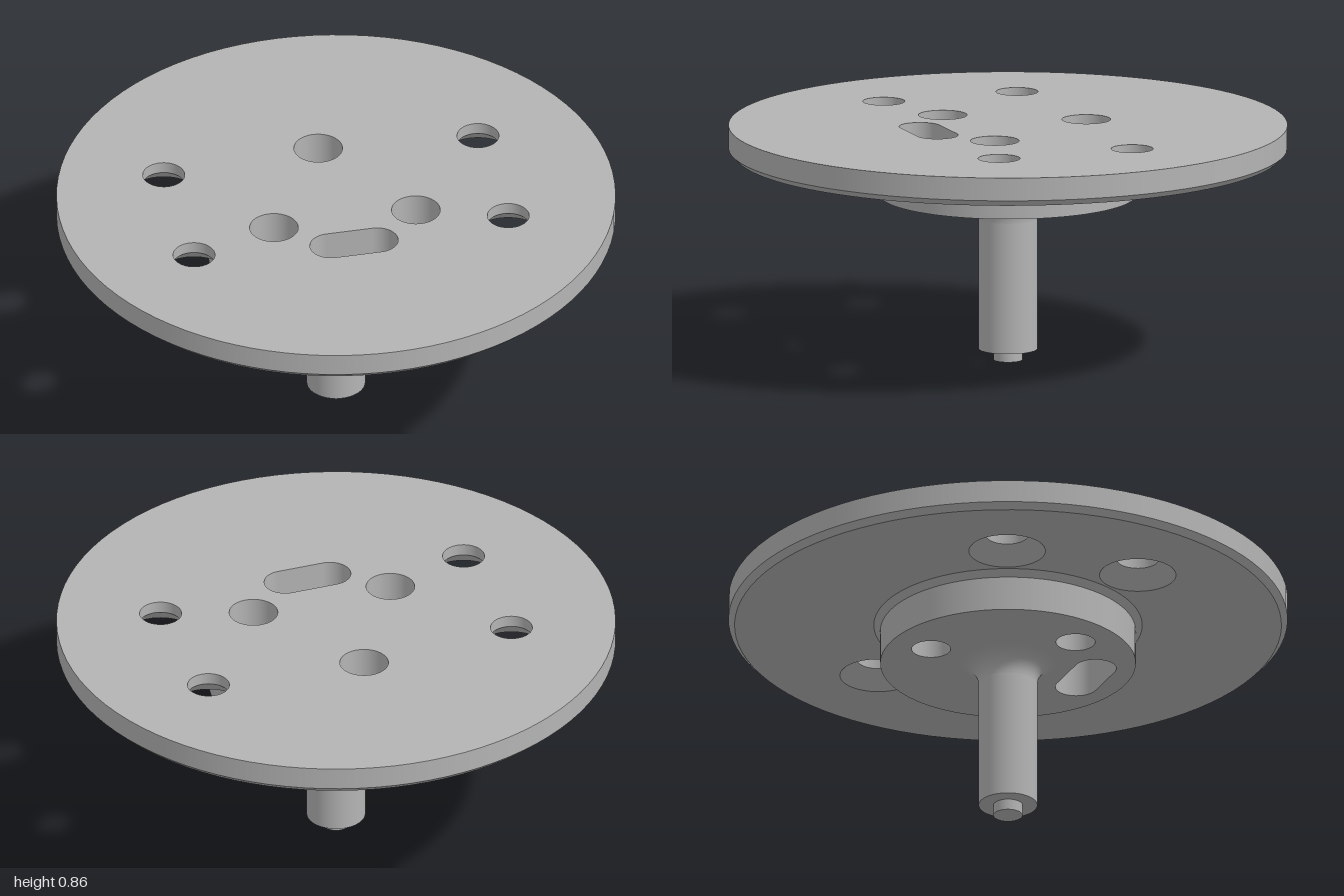
import * as THREE from 'three';
import { mergeGeometries } from 'three/addons/utils/BufferGeometryUtils.js';

const SEG = 96;
const TOP = 0.855, DISC = 0.75, COLLAR = 0.6;
const SLOT = { z: 0.304, r: 0.075, half: 0.085 };
const outerHoles = [[0.575, 0.255], [-0.575, 0.255], [0.575, -0.255], [-0.575, -0.255]];
const innerHoles = [0, 1, 2].map(i => {
  const a = Math.PI + i * Math.PI * 2 / 3;
  return [0.3 * Math.sin(a), 0.3 * Math.cos(a)];
});

// Each run is smooth; runs meet at sharp edges. Upward runs face outward.
function revolve(runs, start = 0, length = Math.PI * 2) {
  return mergeGeometries(runs.map(run =>
    new THREE.LatheGeometry(run.map(p => new THREE.Vector2(p[0], p[1])), SEG, start, length)));
}

// Turns a polyline into one sharp-edged run per segment
const segments = pts => pts.slice(1).map((p, i) => [pts[i], p]);

// Flat round face at height y, facing up (dir 1) or down (dir -1)
function face(radius, y, dir, circles, withSlot) {
  const shape = new THREE.Shape();
  shape.absarc(0, 0, radius, 0, Math.PI * 2);
  for (const [x, z, r] of circles) {
    const hole = new THREE.Path();
    hole.absarc(x, -z * dir, r, 0, Math.PI * 2);
    shape.holes.push(hole);
  }
  if (withSlot) {
    const slot = new THREE.Path(), v = -SLOT.z * dir;
    slot.absarc(SLOT.half, v, SLOT.r, -Math.PI / 2, Math.PI / 2);
    slot.absarc(-SLOT.half, v, SLOT.r, Math.PI / 2, Math.PI * 1.5);
    slot.closePath();
    shape.holes.push(slot);
  }
  return new THREE.ShapeGeometry(shape, SEG / 2).rotateX(-dir * Math.PI / 2).translate(0, y, 0);
}

export function createModel() {
  const metal = new THREE.MeshStandardMaterial({ color: 0xb4b4b4 });
  metal.name = 'grey metal';
  const model = new THREE.Group();
  model.name = 'flangedDisc';
  const add = (name, geometry, x = 0, z = 0) => {
    const mesh = new THREE.Mesh(geometry, metal);
    mesh.name = name;
    mesh.position.set(x, 0, z);
    model.add(mesh);
  };
  const sized = (list, r) => list.map(([x, z]) => [x, z, r]);

  // Wide disc with a chamfered lower rim
  add('discTop', face(1, TOP, 1, [...sized(outerHoles, 0.075), ...sized(innerHoles, 0.087)], true));
  add('discRim', revolve(segments([[0.978, DISC], [1, DISC + 0.022], [1, TOP]])));
  add('discUnderside', face(0.978, DISC, -1, [[0, 0, 0.48], ...sized(outerHoles, 0.137)], false));

  // Collar under the disc
  add('collarSide', revolve(segments([[0.457, COLLAR], [0.457, 0.727], [0.48, DISC]])));
  add('collarUnderside', face(0.457, COLLAR, -1, [[0, 0, 0.19], ...sized(innerHoles, 0.07)], true));

  // Stem with a small tip, blending into the collar
  const fillet = [[0.105, 0.04]];
  for (let i = 0; i <= 12; i++) {
    const a = i / 12 * Math.PI / 2;
    fillet.push([0.19 - 0.085 * Math.cos(a), COLLAR - 0.085 + 0.085 * Math.sin(a)]);
  }
  add('stem', revolve([
    ...segments([[0, 0], [0.052, 0], [0.052, 0.04], [0.105, 0.04]]),
    [fillet[0], fillet[1]],
    fillet.slice(1),
  ]));

  // Countersunk through holes in the disc
  for (const [x, z] of outerHoles)
    add('countersunkHole', revolve(segments([[0.075, TOP], [0.075, DISC + 0.062], [0.137, DISC]])), x, z);

  // Stepped bores through disc and collar
  for (const [x, z] of innerHoles)
    add('steppedBore', revolve(segments([[0.087, TOP], [0.087, 0.7], [0.07, 0.7], [0.07, COLLAR]])), x, z);

  // Slot walls
  const height = TOP - COLLAR, mid = (TOP + COLLAR) / 2;
  const wall = [[[SLOT.r, TOP], [SLOT.r, COLLAR]]];
  const flat = () => new THREE.PlaneGeometry(SLOT.half * 2, height);
  add('slotWall', mergeGeometries([
    revolve(wall, 0, Math.PI).translate(SLOT.half, 0, 0),
    revolve(wall, Math.PI, Math.PI).translate(-SLOT.half, 0, 0),
    flat().translate(0, mid, -SLOT.r),
    flat().rotateY(Math.PI).translate(0, mid, SLOT.r),
  ]), 0, SLOT.z);

  return model;
}
